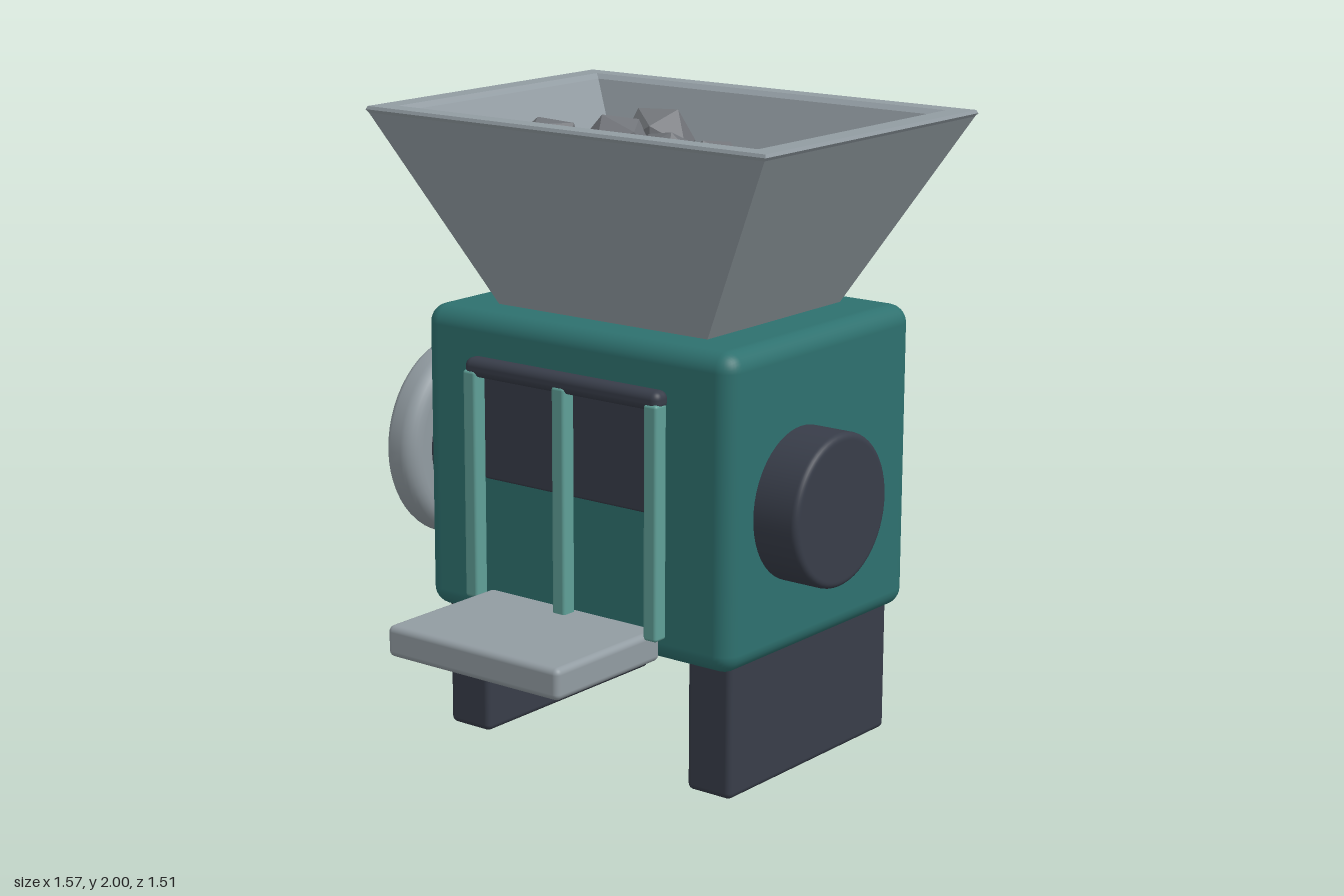
import * as THREE from 'three';
import { RoundedBoxGeometry } from 'three/addons/geometries/RoundedBoxGeometry.js';

const material = (name, color, extra = {}) => {
  const m = new THREE.MeshStandardMaterial({ color, ...extra });
  m.name = name;
  return m;
};

// Rounded box given by its extents along each axis
function box(name, mat, [x0, x1], [y0, y1], [z0, z1], radius) {
  const mesh = new THREE.Mesh(new RoundedBoxGeometry(x1 - x0, y1 - y0, z1 - z0, 4, radius), mat);
  mesh.position.set((x0 + x1) / 2, (y0 + y1) / 2, (z0 + z1) / 2);
  mesh.name = name;
  return mesh;
}

// Solid disc along x with rounded rims
function disc(name, mat, x0, x1, radius, bevel) {
  const h = (x1 - x0) / 2;
  const pts = [[0, -h], [radius - bevel - 0.004, -h]];
  for (let i = 0; i <= 12; i++) {
    const a = -Math.PI / 2 + (i / 6) * (Math.PI / 2);
    const t = i <= 6 ? a : a - Math.PI / 2;
    if (i <= 6) pts.push([radius - bevel + bevel * Math.cos(t), -h + bevel + bevel * Math.sin(t)]);
    else pts.push([radius - bevel + bevel * Math.cos(a), h - bevel + bevel * Math.sin(a)]);
  }
  pts.push([radius - bevel - 0.004, h], [0, h]);
  const geo = new THREE.LatheGeometry(pts.map(([r, y]) => new THREE.Vector2(Math.max(r, 0), y)), 56);
  geo.rotateZ(Math.PI / 2);
  const mesh = new THREE.Mesh(geo, mat);
  mesh.position.set((x0 + x1) / 2, 0.877, -0.075);
  mesh.name = name;
  return mesh;
}

// Skin through rectangular rings [halfX, y, halfZ], with crisp faces
function rectangularLoft(rings) {
  const pos = [];
  const corner = ([hx, y, hz], i) => [[hx, y, hz], [hx, y, -hz], [-hx, y, -hz], [-hx, y, hz]][i % 4];
  for (let j = 0; j < rings.length - 1; j++) {
    for (let i = 0; i < 4; i++) {
      const a = corner(rings[j], i), b = corner(rings[j], i + 1);
      const c = corner(rings[j + 1], i + 1), d = corner(rings[j + 1], i);
      pos.push(...a, ...b, ...c, ...a, ...c, ...d);
    }
  }
  const geo = new THREE.BufferGeometry();
  geo.setAttribute('position', new THREE.Float32BufferAttribute(pos, 3));
  geo.computeVertexNormals();
  return geo;
}

export function createModel() {
  const model = new THREE.Group();
  model.name = 'oreCrusher';
  const teal = material('teal paint', 0x2e716f);
  const mint = material('light teal bars', 0x5f9f97);
  const dark = material('dark iron', 0x383d49);
  const steel = material('steel', 0x929ca2);
  const stone = material('stone', 0x717479, { flatShading: true });

  // Body and its two slab legs
  model.add(box('body', teal, [-0.575, 0.62], [0.41, 1.39], [-0.675, 0.28], 0.06));
  model.add(box('rightLeg', dark, [-0.54, -0.375], [0, 0.45], [-0.615, 0.22], 0.02));
  model.add(box('leftLeg', dark, [0.42, 0.585], [0, 0.45], [-0.615, 0.22], 0.02));

  // Drive shaft and flywheel
  model.add(disc('shaft', dark, -0.68, 0.775, 0.238, 0.02));
  model.add(disc('flywheel', steel, -0.785, -0.655, 0.333, 0.05));

  // Front opening with header rail and three guard bars
  model.add(box('opening', dark, [-0.32, 0.37], [0.87, 1.24], [0.25, 0.29], 0.008));
  model.add(box('headerRail', dark, [-0.355, 0.4], [1.2, 1.26], [0.28, 0.345], 0.025));
  for (const x of [-0.33, 0.023, 0.375]) {
    model.add(box('guardBar', mint, [x - 0.025, x + 0.025], [0.495, 1.222], [0.295, 0.348], 0.01));
  }

  // Output tray
  model.add(box('tray', steel, [-0.31, 0.36], [0.413, 0.512], [0.27, 0.755], 0.02));

  // Open hopper: outer walls, bevelled rim, inner walls
  const hopper = new THREE.Mesh(rectangularLoft([
    [0.4, 1.38, 0.34], [0.752, 1.98, 0.547], [0.76, 1.99, 0.5525], [0.755, 2, 0.548],
    [0.685, 2, 0.485], [0.665, 1.985, 0.468], [0.32, 1.38, 0.26],
  ]), steel);
  hopper.position.set(0.024, 0, -0.2025);
  hopper.name = 'hopper';
  model.add(hopper);

  // Lumps of ore: x, y, z, radius
  const ore = new THREE.Group();
  ore.name = 'ore';
  const lumps = [
    [-0.225, 1.84, -0.46, 0.125], [-0.26, 1.83, -0.29, 0.125], [-0.385, 1.83, -0.1, 0.13],
    [-0.38, 1.83, 0.01, 0.125], [0.05, 1.83, -0.14, 0.12], [0.26, 1.83, -0.105, 0.12],
    [0.19, 1.83, 0, 0.11],
  ];
  lumps.forEach(([x, y, z, r], i) => {
    const lump = new THREE.Mesh(new THREE.IcosahedronGeometry(r, 0), stone);
    lump.position.set(x, y, z);
    lump.rotation.set(i * 1.3, i * 2.1 + 0.4, i * 0.7);
    lump.name = 'oreLump';
    ore.add(lump);
  });
  model.add(ore);
  return model;
}
